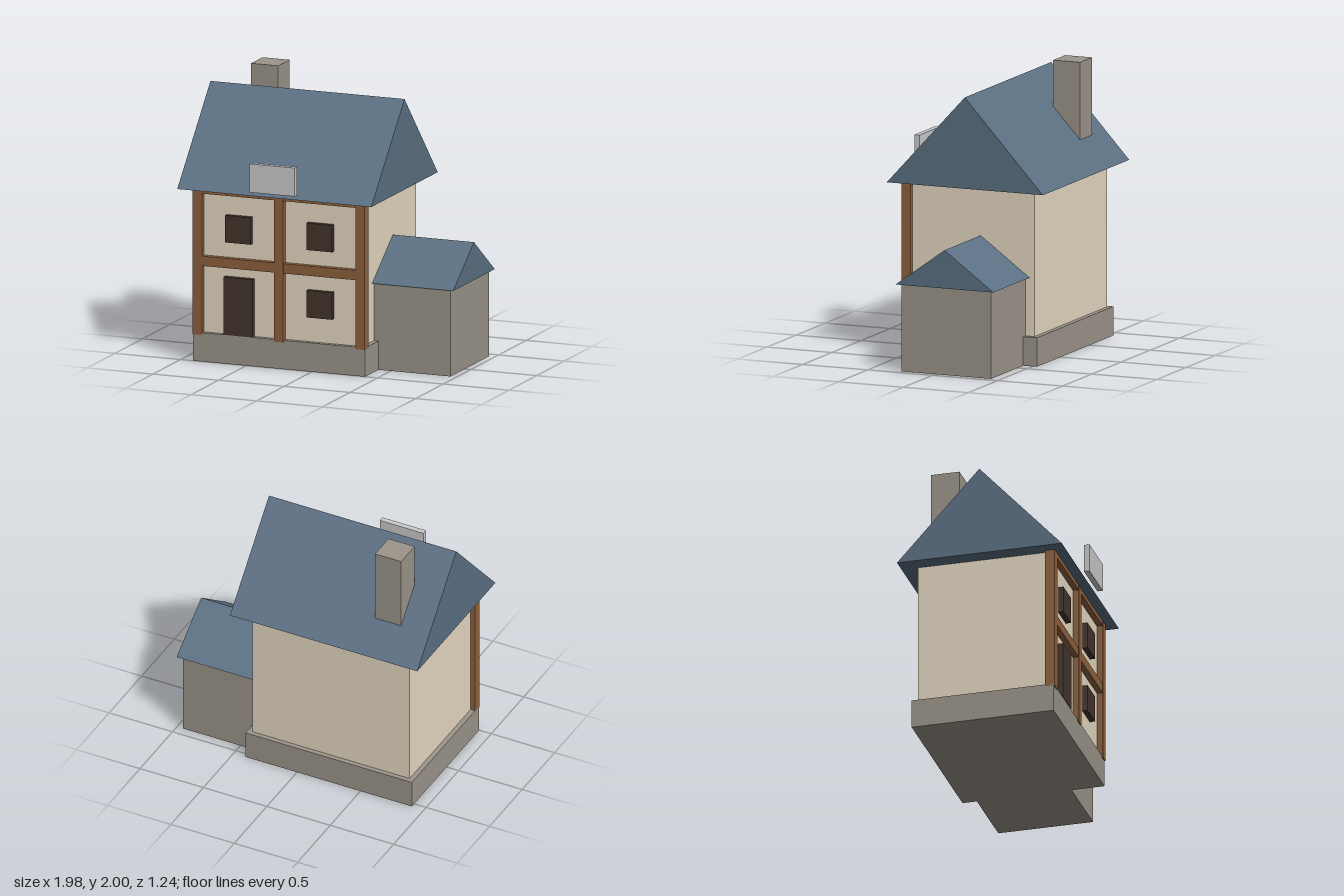
import * as THREE from 'three';

const mat = (color) => new THREE.MeshStandardMaterial({ color, flatShading: true });

export function createModel() {
  const house = new THREE.Group();
  house.name = 'house';
  const stone = mat(0x9c958a), plaster = mat(0xe6d9c2), timber = mat(0x8f613d);
  const dark = mat(0x44342b), slate = mat(0x5b7083), grey = mat(0xcccccc);

  // Box given by its extents on each axis
  function box(name, material, [x0, x1], [y0, y1], [z0, z1]) {
    const mesh = new THREE.Mesh(new THREE.BoxGeometry(x1 - x0, y1 - y0, z1 - z0), material);
    mesh.position.set((x0 + x1) / 2, (y0 + y1) / 2, (z0 + z1) / 2);
    mesh.name = name;
    house.add(mesh);
  }

  // Solid gable roof with its ridge along x
  function gable(name, [x0, x1], [eave, ridge], [z0, z1]) {
    const mid = (z0 + z1) / 2, half = (z1 - z0) / 2;
    const shape = new THREE.Shape();
    shape.moveTo(-half, 0);
    shape.lineTo(half, 0);
    shape.lineTo(0, ridge - eave);
    shape.closePath();
    const geo = new THREE.ExtrudeGeometry(shape, { depth: x1 - x0, bevelEnabled: false });
    geo.rotateY(Math.PI / 2);
    const mesh = new THREE.Mesh(geo, slate);
    mesh.position.set(x0, eave, mid);
    mesh.name = name;
    house.add(mesh);
  }

  // Main house
  box('foundation', stone, [-0.905, 0.405], [0, 0.207], [-0.535, 0.5]);
  box('walls', plaster, [-0.87, 0.37], [0.2, 1.26], [-0.5, 0.465]);
  gable('mainRoof', [-0.99, 0.487], [1.245, 1.897], [-0.618, 0.583]);
  box('chimney', stone, [-0.768, -0.562], [1.4, 2], [-0.432, -0.225]);

  // Timber frame on the front
  for (const x of [-0.87, -0.25, 0.37]) {
    box('post', timber, [x - 0.035, x + 0.035], [0.193, 1.26], [0.438, 0.508]);
  }
  for (const y of [0.725, 1.245]) {
    box('crossBeam', timber, [-0.87, 0.37], [y - 0.035, y + 0.035], [0.438, 0.507]);
  }

  // Door and windows
  box('door', dark, [-0.672, -0.453], [0.207, 0.623], [0.44, 0.502]);
  for (const [x, y] of [[-0.562, 0.97], [0.057, 0.97], [0.057, 0.485]]) {
    box('window', dark, [x - 0.097, x + 0.097], [y - 0.097, y + 0.097], [0.44, 0.502]);
  }

  // Blank sign board at the front eave
  box('signBoard', grey, [-0.422, -0.078], [1.28, 1.485], [0.585, 0.625]);

  // Side annex
  box('annexWalls', stone, [0.37, 0.955], [0, 0.64], [-0.43, 0.26]);
  gable('annexRoof', [0.36, 0.987], [0.624, 0.897], [-0.462, 0.29]);

  return house;
}
